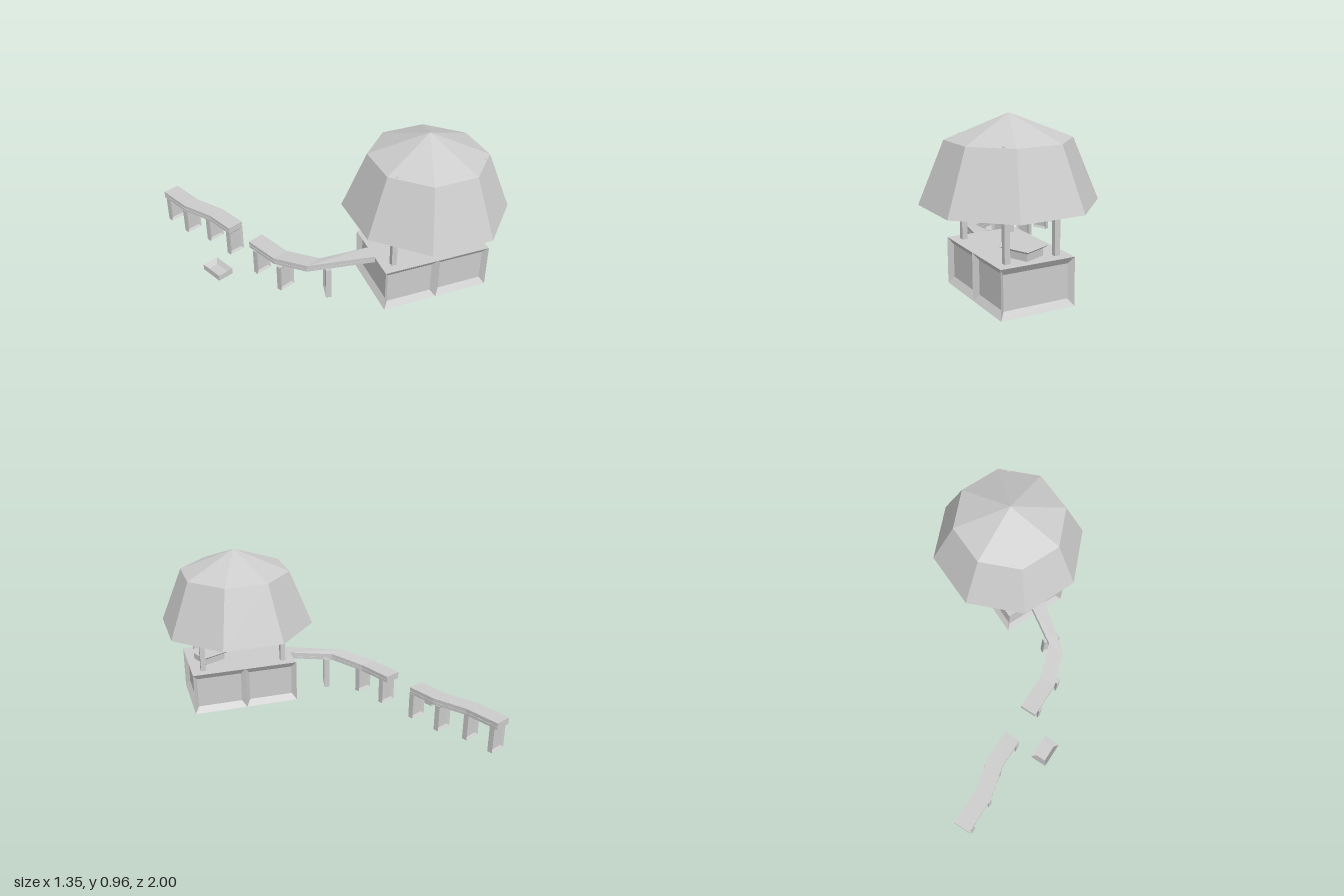
import * as THREE from 'three';
import { mergeGeometries } from 'three/addons/utils/BufferGeometryUtils.js';

const material = new THREE.MeshStandardMaterial({ color: 0xcccccc, flatShading: true, side: THREE.DoubleSide });

function add(parent, name, geometry, x = 0, y = 0, z = 0, turn = 0) {
  const mesh = new THREE.Mesh(geometry, material);
  mesh.name = name;
  mesh.position.set(x, y, z);
  mesh.rotation.y = turn;
  parent.add(mesh);
  return mesh;
}

// Geometry from vertices and quads, flat shaded
function quads(points, faces) {
  const g = new THREE.BufferGeometry();
  g.setAttribute('position', new THREE.Float32BufferAttribute(points.flat(), 3));
  g.setIndex(faces.flatMap(([a, b, c, d]) => [a, b, c, a, c, d]));
  const flat = g.toNonIndexed();
  flat.computeVertexNormals();
  return flat;
}

// Rectangle facing +z whose middle is sunk behind a sloping frame
function sunkPanel(w, h, insetX, insetY, depth) {
  const ring = (x, y, z) => [[-x, -y, z], [x, -y, z], [x, y, z], [-x, y, z]];
  const faces = [[4, 5, 6, 7]];
  for (let i = 0; i < 4; i++) faces.push([i, (i + 1) % 4, 4 + (i + 1) % 4, 4 + i]);
  return quads([...ring(w / 2, h / 2, 0), ...ring(w / 2 - insetX, h / 2 - insetY, -depth)], faces);
}

// Box standing on y = 0; `sunk` gives the number of sunk panels on each side
function panelBox(w, h, d, insetX, insetY, depth, sunk) {
  const parts = [];
  const sides = [
    { n: sunk.front || 0, w, h, off: d / 2, ry: 0 },
    { n: sunk.right || 0, w: d, h, off: w / 2, ry: Math.PI / 2 },
    { n: sunk.back || 0, w, h, off: d / 2, ry: Math.PI },
    { n: sunk.left || 0, w: d, h, off: w / 2, ry: -Math.PI / 2 },
    { n: sunk.top || 0, w, h: d, off: h / 2, rx: -Math.PI / 2 },
    { n: 0, w, h: d, off: h / 2, rx: Math.PI / 2 },
  ];
  for (const s of sides) {
    const count = Math.max(1, s.n), pw = s.w / count;
    for (let i = 0; i < count; i++) {
      const g = s.n ? sunkPanel(pw, s.h, insetX, insetY, depth) : sunkPanel(pw, s.h, pw / 4, s.h / 4, 0);
      g.translate((i - (count - 1) / 2) * pw, 0, s.off);
      if (s.rx) g.rotateX(s.rx);
      if (s.ry) g.rotateY(s.ry);
      parts.push(g);
    }
  }
  return mergeGeometries(parts).translate(0, h / 2, 0);
}

// Slab swept along stations [x, top, z, halfCrossX, halfCrossZ]
function slab(stations, top, bottom, scale) {
  const points = [], faces = [];
  stations.forEach(([x, y, z, cx, cz], i) => {
    const a = cx * scale, b = cz * scale;
    points.push([x - a, y - bottom, z - b], [x + a, y - bottom, z + b], [x + a, y - top, z + b], [x - a, y - top, z - b]);
    if (i) for (let k = 0; k < 4; k++) {
      const p = (i - 1) * 4, q = i * 4, n = (k + 1) % 4;
      faces.push([p + n, p + k, q + k, q + n]);
    }
  });
  const e = points.length - 4;
  faces.push([3, 2, 1, 0], [e, e + 1, e + 2, e + 3]);
  return quads(points, faces);
}

export function createModel() {
  const model = new THREE.Group();
  model.name = 'pavilionWithWalkway';

  // Pavilion: panelled base and four posts, turned together
  const pavilion = new THREE.Group();
  pavilion.name = 'pavilion';
  pavilion.position.set(0.205, 0, 0.537);
  pavilion.rotation.y = -0.415;
  model.add(pavilion);
  add(pavilion, 'base', panelBox(0.64, 0.26, 0.415, 0.026, 0.037, 0.026, { front: 2, back: 2, left: 1, right: 1 }));
  for (const sx of [-1, 1]) for (const sz of [-1, 1])
    add(pavilion, 'post', new THREE.BoxGeometry(0.03, 0.577, 0.03), sx * 0.248, 0.5475, sz * 0.141);

  // Eight-sided roof: open skirt and shallow cap
  const roof = new THREE.Group();
  roof.name = 'roof';
  roof.position.set(0.21, 0, 0.53);
  model.add(roof);
  add(roof, 'roofSkirt', new THREE.CylinderGeometry(0.33, 0.465, 0.33, 8, 1, true), 0, 0.665, 0);
  add(roof, 'roofCap', new THREE.ConeGeometry(0.33, 0.132, 8, 1, true), 0, 0.896, 0);

  // Small table with a flared top
  add(model, 'tablePedestal', new THREE.BoxGeometry(0.14, 0.045, 0.13), 0.37, 0.2825, 0.618);
  const flare = new THREE.CylinderGeometry(Math.SQRT1_2, 0.57, 1, 4).rotateY(Math.PI / 4);
  add(model, 'tableTop', flare, 0.37, 0.307, 0.618).scale.set(0.18, 0.014, 0.17);

  // Two walkway sections with a gap between them
  const sections = {
    nearWalkway: [[-0.42, 0.2, -0.21, 0.05, 0], [-0.42, 0.2, 0.01, 0.05, 0],
      [-0.352, 0.224, 0.215, 0.05, 0], [-0.08, 0.257, 0.41, 0.02, -0.042]],
    farWalkway: [[-0.472, 0.2, -1, 0.051, 0], [-0.472, 0.2, -0.78, 0.051, 0],
      [-0.425, 0.2, -0.58, 0.05, 0], [-0.425, 0.2, -0.395, 0.05, 0]],
  };
  for (const [name, stations] of Object.entries(sections)) {
    const group = new THREE.Group();
    group.name = name;
    model.add(group);
    add(group, 'deck', slab(stations, 0, 0.017, 1));
    add(group, 'deckCore', slab(stations, 0.017, 0.024, 0.94));
    add(group, 'deckUnderside', slab(stations, 0.024, 0.04, 1));
  }

  // Panelled supports: [x, z, height, turn]
  const supports = [
    [-0.474, -0.965, 0.162, 0], [-0.474, -0.785, 0.162, 0], [-0.428, -0.61, 0.162, 0], [-0.424, -0.412, 0.162, 0],
    [-0.425, -0.155, 0.162, 0], [-0.425, 0.055, 0.165, 0], [-0.29, 0.262, 0.196, 0.96],
  ];
  for (const [x, z, h, turn] of supports)
    add(model, 'walkwaySupport', panelBox(0.103, h, 0.032, 0.015, 0.015, 0.01, { front: 1, back: 1 }), x, 0, z, turn);

  // Low open box on the ground
  add(model, 'openBox', panelBox(0.1, 0.035, 0.15, 0.02, 0.025, 0.027, { top: 1 }), -0.627, 0, -0.325);

  return model;
}
